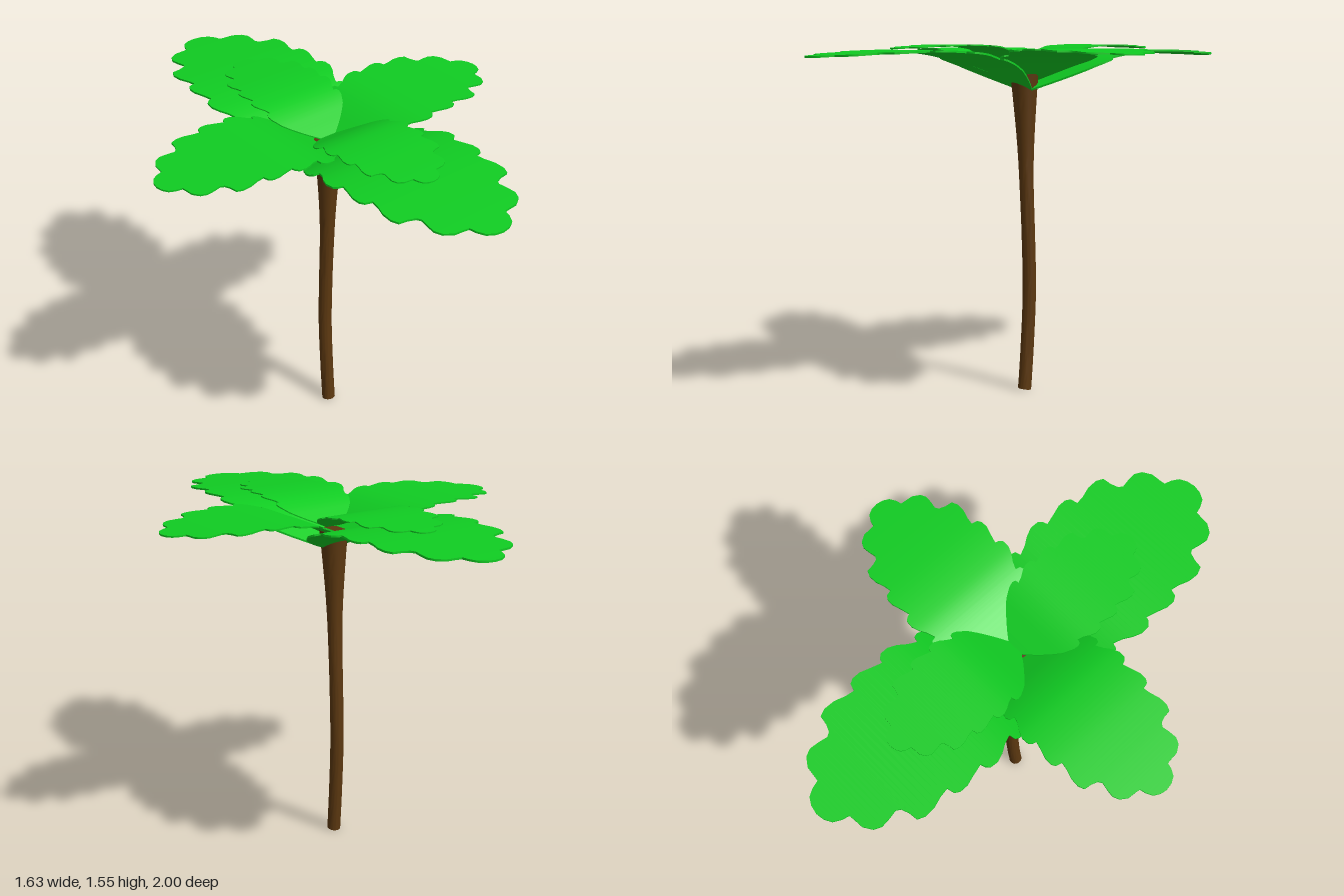
import * as THREE from 'three';
import { toCreasedNormals } from 'three/addons/utils/BufferGeometryUtils.js';

// Full-size frond: half-width against length, with lobes swept towards the tip
const OUTLINE = [
  [0.06, 0], [0.115, 0.04], [0.165, 0.08], [0.21, 0.12], [0.25, 0.16], [0.285, 0.22],
  [0.292, 0.25], [0.284, 0.268], [0.26, 0.274], [0.275, 0.31], [0.298, 0.345], [0.312, 0.38],
  [0.31, 0.415], [0.295, 0.43], [0.277, 0.436], [0.288, 0.475], [0.304, 0.525], [0.304, 0.56],
  [0.292, 0.58], [0.262, 0.588], [0.268, 0.625], [0.283, 0.67], [0.285, 0.715], [0.272, 0.745],
  [0.235, 0.75], [0.204, 0.762], [0.193, 0.78], [0.2, 0.815], [0.204, 0.855], [0.19, 0.885],
  [0.155, 0.908], [0.11, 0.912], [0.09, 0.915], [0.082, 0.945], [0.065, 0.975], [0.035, 0.992], [0, 0.998],
];

// Linear lookup in a table of [position, value]
function lookup(table, t) {
  let i = 1;
  while (i < table.length - 1 && table[i].x < t) i++;
  const a = table[i - 1], b = table[i];
  return THREE.MathUtils.lerp(a.y, b.y, THREE.MathUtils.clamp((t - a.x) / (b.x - a.x), 0, 1));
}
const smoothTable = (pts) => new THREE.SplineCurve(pts.map(p => new THREE.Vector2(...p))).getPoints(80);

// Rise of a frond along its length
const RISE = smoothTable([[0, 0], [0.1, 0.055], [0.2, 0.107], [0.3, 0.143], [0.4, 0.16],
  [0.55, 0.167], [0.75, 0.16], [1, 0.145]]);

// Thin slab from rectangular cross-sections, running along +z
function frondGeometry(thickness) {
  const rows = [];
  OUTLINE.forEach(([w, z], i) => {
    if (i) {
      const [w0, z0] = OUTLINE[i - 1];
      rows.push([(w + w0) / 2, (z + z0) / 2]);
    }
    rows.push([w, z]);
  });
  const pos = [], index = [];
  rows.forEach(([w, z], r) => {
    const y = lookup(RISE, z);
    pos.push(-w, y + thickness, z, w, y + thickness, z, w, y, z, -w, y, z);
    if (!r) return;
    for (let k = 0; k < 4; k++) {
      const a = (r - 1) * 4 + k, b = (r - 1) * 4 + (k + 1) % 4;
      index.push(a, a + 4, b, b, a + 4, b + 4);
    }
  });
  index.push(0, 1, 2, 0, 2, 3); // base end
  const g = new THREE.BufferGeometry();
  g.setAttribute('position', new THREE.Float32BufferAttribute(pos, 3));
  g.setIndex(index);
  return toCreasedNormals(g, 0.7);
}

// Gently bent trunk that flares towards the crown
function trunkGeometry() {
  const height = 1.42;
  const radius = smoothTable([[0, 0.03], [0.5, 0.03], [0.9, 0.031], [1.1, 0.037], [1.3, 0.051], [1.42, 0.062]]);
  const bend = smoothTable([[0, 0.002], [0.2, -0.012], [0.45, -0.023], [0.7, -0.018], [0.95, -0.008], [1.2, -0.002], [1.42, 0.003]]);
  const g = new THREE.CylinderGeometry(1, 1, height, 28, 32);
  g.translate(0, height / 2, 0);
  const p = g.attributes.position;
  for (let i = 0; i < p.count; i++) {
    const y = p.getY(i), r = lookup(radius, y), z = p.getZ(i);
    const tilt = y < 0.001 ? 0.005 * (1 + z) : 0; // slanted foot
    p.setXYZ(i, p.getX(i) * r, y + tilt, z * r + lookup(bend, y));
  }
  return toCreasedNormals(g, 0.7);
}

export function createModel() {
  const model = new THREE.Group();
  model.name = 'palmTree';
  const bark = new THREE.MeshStandardMaterial({ color: 0x5c3810 });
  const green = new THREE.MeshStandardMaterial({ color: 0x10cc22, side: THREE.DoubleSide });

  const trunk = new THREE.Mesh(trunkGeometry(), bark);
  trunk.name = 'trunk';
  model.add(trunk);

  // Three tiers of opposite fronds: [name, scale, base height, heading]
  const frond = frondGeometry(0.008);
  const tiers = [
    ['largeFrond', 1, 1.35, 0],
    ['sideFrond', 0.817, 1.388, Math.PI / 2],
    ['smallFrond', 0.635, 1.436, 0],
  ];
  for (const [name, scale, y, heading] of tiers) {
    for (const turn of [0, Math.PI]) {
      const leaf = new THREE.Mesh(frond, green);
      leaf.name = name;
      leaf.scale.setScalar(scale);
      leaf.position.y = y;
      leaf.rotation.y = heading + turn;
      model.add(leaf);
    }
  }
  return model;
}
